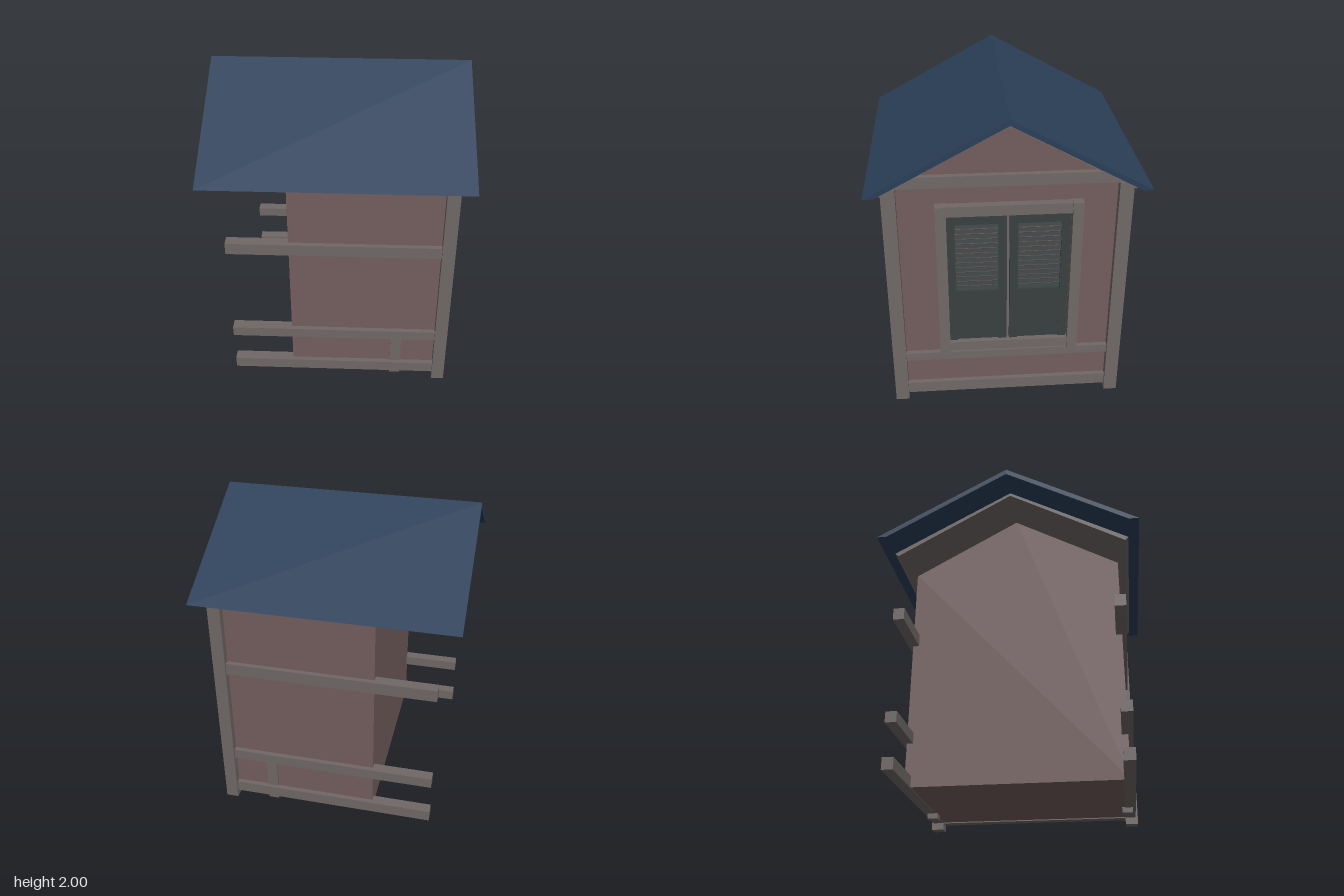
import * as THREE from 'three';

export function createModel() {
  const model = new THREE.Group();
  const mat = (color) => new THREE.MeshStandardMaterial({ color });
  const wallMat = mat(0x735e5e), trimMat = mat(0x6f6866), shutterMat = mat(0x393f3f), roofMat = mat(0x2a3f58);

  const add = (name, geo, material, parent = model) => {
    const mesh = new THREE.Mesh(geo, material);
    mesh.name = name;
    parent.add(mesh);
    return mesh;
  };
  // Box given by its extents on each axis
  const box = (name, [x0, x1], [y0, y1], [z0, z1], material, parent) => {
    const geo = new THREE.BoxGeometry(x1 - x0, y1 - y0, z1 - z0);
    geo.translate((x0 + x1) / 2, (y0 + y1) / 2, (z0 + z1) / 2);
    return add(name, geo, material, parent);
  };
  // Cross-section in the z-y plane, extruded along x
  const extrudeX = (name, pts, x0, x1, material) => {
    const shape = new THREE.Shape(pts.map(([u, y]) => new THREE.Vector2(u, y)));
    const geo = new THREE.ExtrudeGeometry(shape, { depth: x1 - x0, bevelEnabled: false });
    geo.rotateY(Math.PI / 2).translate(x0, 0, 0);
    return add(name, geo, material);
  };

  // House body with gable
  extrudeX('walls', [[-0.69, 0.05], [0.69, 0.05], [0.69, 1.56], [0, 1.95], [-0.69, 1.56]], -0.295, 0.675, wallMat);

  // Roof: outer covering and the lining beneath it
  extrudeX('roof', [[0.828, 1.547], [0, 2], [-0.828, 1.547], [-0.765, 1.547], [0, 1.965], [0.765, 1.547]], -0.803, 0.803, roofMat);
  extrudeX('roofLining', [[0.762, 1.546], [0, 1.961], [-0.762, 1.546], [-0.74, 1.525], [0, 1.94], [0.74, 1.525]], -0.605, 0.74, trimMat);

  // Corner posts, side rails and short supports on both sides
  for (const side of [1, -1]) {
    const span = (a, b) => (side > 0 ? [a, b] : [-b, -a]);
    box('cornerPost', [0.64, 0.72], [0, 1.555], span(0.65, 0.735), trimMat);
    for (const y of [[0.047, 0.122], [0.333, 0.402], [1.012, 1.09]]) {
      box('sideRail', [-0.68, 0.64], y, span(0.65, 0.72), trimMat);
    }
    box('shortSupport', [0.355, 0.425], [0.013, 0.335], span(0.63, 0.7), trimMat);
  }

  // Cross rails on the gable end
  box('gableRail', [0.635, 0.705], [0.043, 0.122], [-0.65, 0.65], trimMat);
  box('gableRail', [0.635, 0.705], [0.308, 0.365], [-0.65, 0.65], trimMat);
  extrudeX('gableBeam', [[-0.735, 1.555], [0.735, 1.555], [0.6, 1.627], [-0.6, 1.627]], 0.635, 0.71, trimMat);

  // Window frame
  const windowGroup = new THREE.Group();
  windowGroup.name = 'window';
  model.add(windowGroup);
  for (const z of [0.3975, -0.4125]) {
    box('frameUpright', [0.66, 0.735], [0.385, 1.44], [z - 0.0325, z + 0.0325], trimMat, windowGroup);
  }
  for (const y of [0.39, 1.37]) {
    box('frameCrossbar', [0.66, 0.725], [y, y + 0.067], [-0.385, 0.37], trimMat, windowGroup);
  }
  box('centreStrip', [0.66, 0.685], [0.455, 1.37], [-0.01, 0.004], trimMat, windowGroup);

  // Shutters: two stiles, a top rail, a solid lower panel and louvre slats
  for (const side of [1, -1]) {
    const shutter = new THREE.Group();
    shutter.name = 'shutter';
    shutter.position.z = side * 0.19 - 0.003;
    windowGroup.add(shutter);
    box('stile', [0.665, 0.7], [0.455, 1.372], [-0.182, -0.13], shutterMat, shutter);
    box('stile', [0.665, 0.7], [0.455, 1.372], [0.13, 0.182], shutterMat, shutter);
    box('topRail', [0.665, 0.697], [1.3, 1.365], [-0.13, 0.13], shutterMat, shutter);
    box('lowerPanel', [0.665, 0.697], [0.462, 0.83], [-0.13, 0.13], shutterMat, shutter);
    const count = 14;
    for (let i = 0; i < count; i++) {
      const slat = add('slat', new THREE.BoxGeometry(0.007, 0.024, 0.26), shutterMat, shutter);
      slat.position.set(0.687, 0.83 + (0.47 * (i + 0.5)) / count, 0);
      slat.rotation.z = 0.25;
    }
  }
  return model;
}
